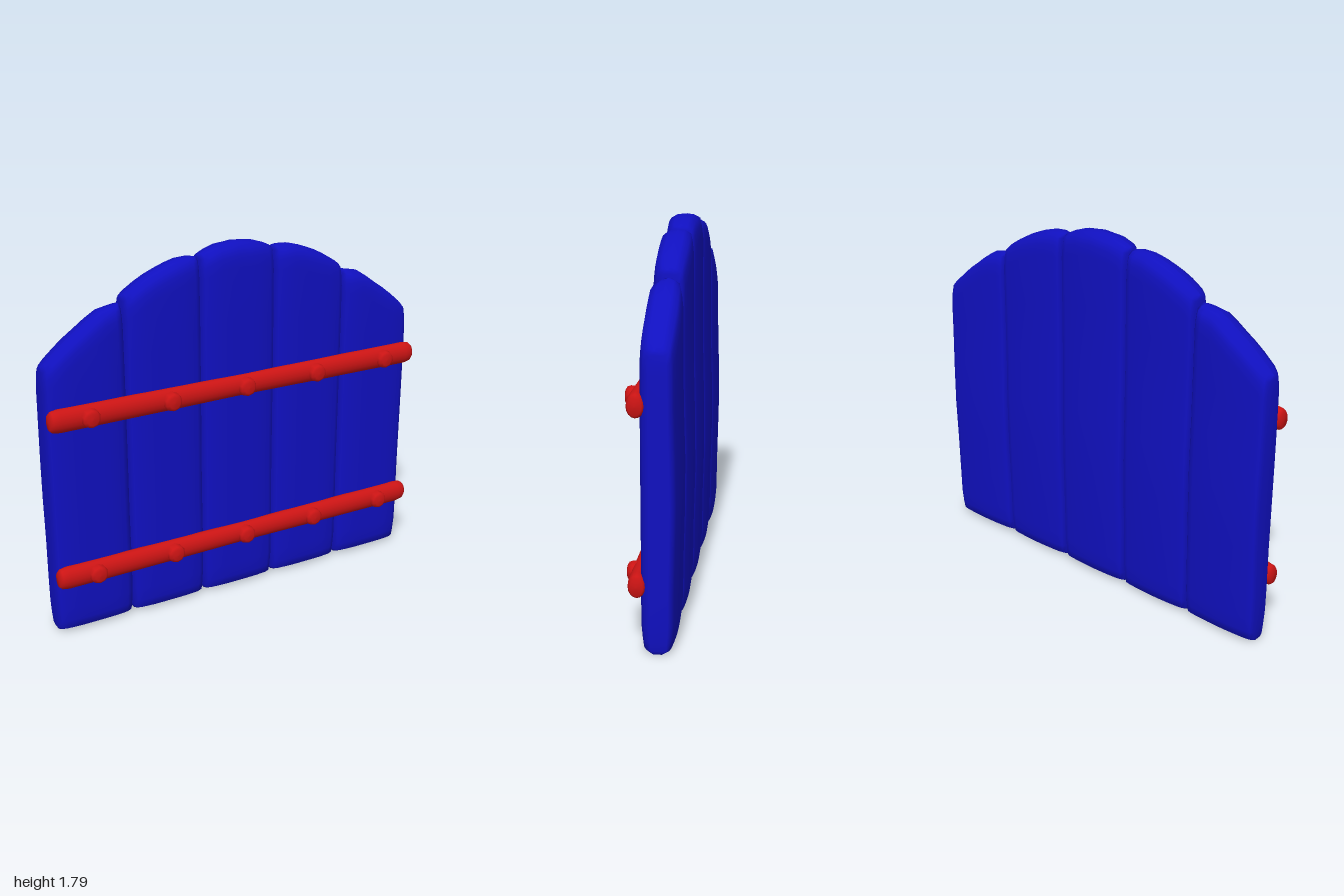
import * as THREE from 'three';

const blue = new THREE.MeshStandardMaterial({ color: 0x1010c0 });
const red = new THREE.MeshStandardMaterial({ color: 0xcc1414 });

// Plank cross-section: [side -1..1, z], running from the left edge over the front and round the back
const SECTION = [
  [-1, 0.0], [-0.93, 0.025], [-0.8, 0.039], [-0.5, 0.045], [-0.25, 0.046], [0, 0.046], [0.25, 0.046],
  [0.5, 0.045], [0.8, 0.039], [0.93, 0.025], [1, 0.0],
  [1, -0.08], [0.93, -0.096], [0.8, -0.102], [0.5, -0.107], [0.25, -0.109], [0, -0.11], [-0.25, -0.109],
  [-0.5, -0.107], [-0.8, -0.102], [-0.93, -0.096], [-1, -0.08],
];
const MID_Z = -0.03;

// Rings along a plank: [anchor 0 = bottom / 1 = top, offset, width scale, thickness scale]
const RINGS = [
  [0, 0.01, 0.93, 0], [0, 0.013, 0.95, 0.5], [0, 0.028, 0.965, 0.84], [0, 0.07, 0.98, 0.92], [0, 0.14, 0.995, 1],
  [0.2, 0, 1, 1], [0.35, 0, 0.99, 1], [0.5, 0, 0.995, 1], [0.65, 0, 1, 1], [0.8, 0, 1, 1],
  [1, -0.11, 0.995, 1], [1, -0.06, 0.985, 0.93], [1, -0.02, 0.97, 0.82], [1, -0.005, 0.96, 0.45], [1, 0, 0.95, 0],
];

// One padded plank; its top edge follows a short curve given as heights across its width
function plank(x0, x1, tops) {
  const cx = (x0 + x1) / 2, half = (x1 - x0) / 2, n = SECTION.length;
  const topAt = (u) => {
    const f = (u + 1) / 2 * (tops.length - 1);
    const i = Math.min(Math.floor(f), tops.length - 2);
    return THREE.MathUtils.lerp(tops[i], tops[i + 1], f - i);
  };
  const pos = [], index = [];
  RINGS.forEach(([t, off, sx, sz]) => {
    for (const [u, z] of SECTION) {
      const y = topAt(u) * t + off;
      // the back swells slightly at mid height
      const swell = z < MID_Z ? 0.011 * Math.exp(-(((y - 0.7) / 0.3) ** 2)) : 0;
      pos.push(cx + u * half * sx, y, MID_Z + (z - MID_Z - swell) * sz);
    }
  });
  for (let r = 0; r < RINGS.length - 1; r++) {
    for (let i = 0; i < n; i++) {
      const a = r * n + i, b = r * n + (i + 1) % n;
      index.push(a, b, b + n, a, b + n, a + n);
    }
  }
  const g = new THREE.BufferGeometry();
  g.setAttribute('position', new THREE.Float32BufferAttribute(pos, 3));
  g.setIndex(index);
  g.computeVertexNormals();
  return g;
}

// Turned shape from [radius, height] points
const turned = (pts, sides) => new THREE.LatheGeometry(pts.map(([r, y]) => new THREE.Vector2(r, y)), sides);

export function createModel() {
  const model = new THREE.Group();
  const add = (name, geo, mat) => {
    const m = new THREE.Mesh(geo, mat);
    m.name = name;
    model.add(m);
    return m;
  };

  // Planks: a central one and two mirrored pairs forming the arched top
  add('plankCentre', plank(-0.2, 0.2, [1.76, 1.782, 1.796, 1.8, 1.805, 1.8, 1.796, 1.782, 1.76]), blue);
  const inner = [1.755, 1.76, 1.755, 1.742, 1.725, 1.706, 1.682, 1.655, 1.62];
  const outer = [1.59, 1.58, 1.57, 1.54, 1.505, 1.472, 1.435, 1.396, 1.35];
  add('plankInnerLeft', plank(0.2, 0.595, inner), blue);
  add('plankInnerRight', plank(-0.595, -0.2, [...inner].reverse()), blue);
  add('plankOuterLeft', plank(0.595, 0.997, outer), blue);
  add('plankOuterRight', plank(-0.997, -0.595, [...outer].reverse()), blue);

  // Cross bars with round studs, one per plank
  const bar = turned([[0, -1], [0.038, -0.998], [0.05, -0.985], [0.056, -0.95], [0.054, -0.4], [0.051, 0],
    [0.054, 0.4], [0.056, 0.95], [0.05, 0.985], [0.038, 0.998], [0, 1]], 16);
  bar.rotateZ(Math.PI / 2);
  bar.scale(1, 1, 0.76);
  const stud = turned([[0.046, 0], [0.046, 0.036], [0.041, 0.05], [0.028, 0.058], [0, 0.06]], 10);
  stud.rotateX(Math.PI / 2);
  [['lower', 0.32], ['upper', 1.115]].forEach(([level, y]) => {
    add(level + 'Bar', bar, red).position.set(0, y, 0.055);
    [-0.81, -0.4, 0, 0.4, 0.81].forEach((x, i) => {
      add(level + 'Stud' + (i + 1), stud, red).position.set(x, y, 0.063);
    });
  });
  return model;
}
